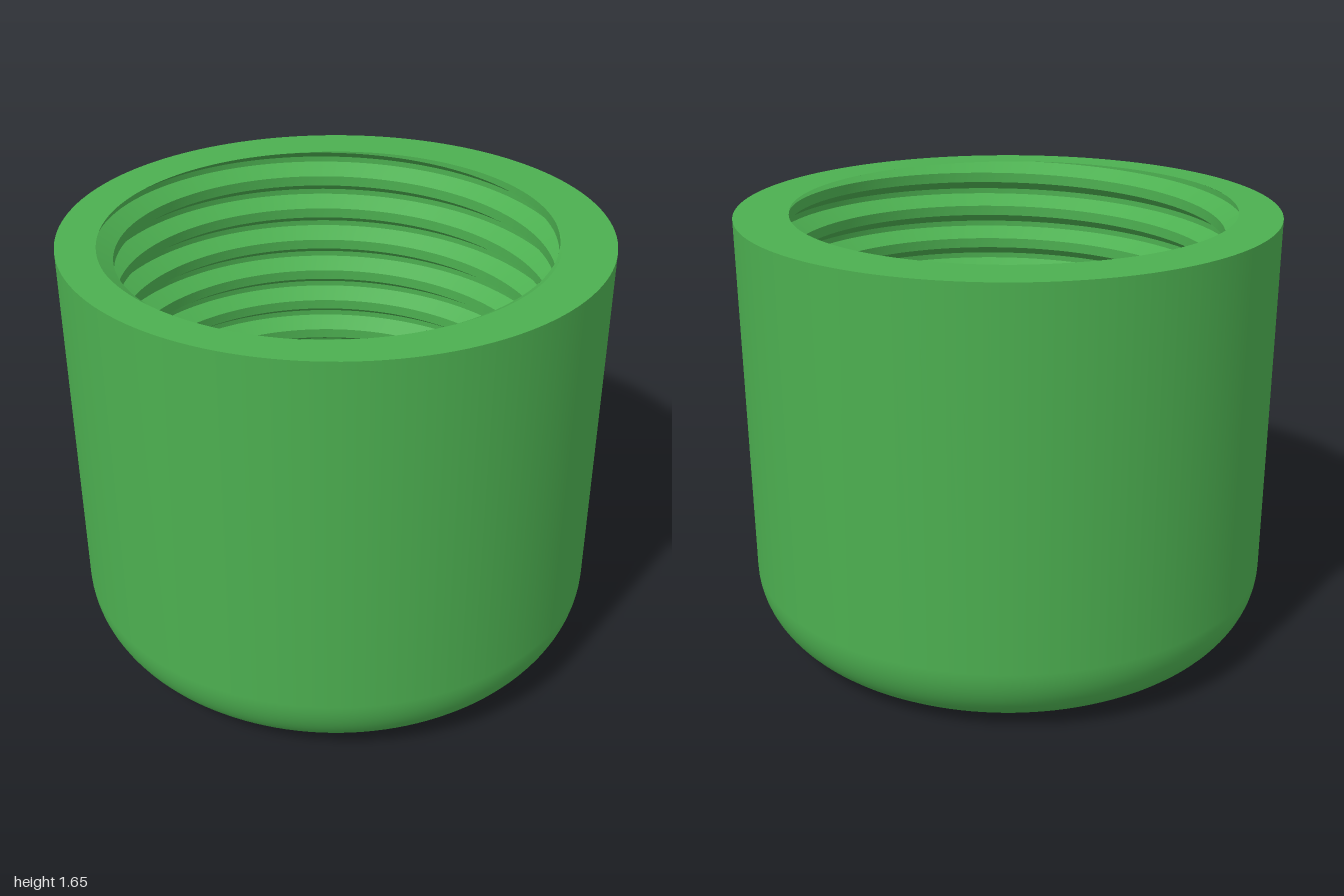
import * as THREE from 'three';

const HEIGHT = 1.655, FLOOR = 0.2, FILLET = 0.28;
const CREST = 0.8, ROOT = 0.865, PITCH = 0.142;
const START = THREE.MathUtils.degToRad(143); // angle where the groove meets the rim
const TAU = Math.PI * 2, STEPS = 144;

// One pitch of the groove: [height from groove centre, radius]
const THREAD = [[-0.051, CREST], [-0.011, ROOT], [0.011, ROOT], [0.051, CREST], [0.091, CREST]];

// Band swept around y; edges(angle) gives its two [radius, height] edge points
function sweep(edges, from, to) {
  const n = Math.ceil((to - from) / TAU * STEPS);
  const pos = [], index = [], width = [];
  for (let i = 0; i <= n; i++) {
    const t = from + (to - from) * i / n;
    const [a, b] = edges(t);
    for (const [r, y] of [a, b]) pos.push(r * Math.cos(t), y, r * Math.sin(t));
    width.push(Math.hypot(a[0] - b[0], a[1] - b[1]));
    if (i > 0 && width[i] + width[i - 1] > 1e-6) {
      const k = 2 * i - 2;
      index.push(k, k + 2, k + 3, k, k + 3, k + 1);
    }
  }
  const geo = new THREE.BufferGeometry();
  geo.setAttribute('position', new THREE.Float32BufferAttribute(pos, 3));
  geo.setIndex(index);
  geo.computeVertexNormals();
  return geo;
}

// Radius of the threaded wall at a given angle and height
function wallRadius(t, y) {
  const low = THREAD[0][0];
  const u = y - HEIGHT + PITCH * (t - START) / TAU;
  const v = low + THREE.MathUtils.euclideanModulo(u - low, PITCH);
  for (let i = 0; i < THREAD.length - 1; i++) {
    const [u0, r0] = THREAD[i], [u1, r1] = THREAD[i + 1];
    if (v <= u1) return r0 + (r1 - r0) * (v - u0) / (u1 - u0);
  }
  return CREST;
}

export function createModel() {
  const group = new THREE.Group();
  group.name = 'threadedCap';
  const material = new THREE.MeshStandardMaterial({ color: 0x4caf50, side: THREE.DoubleSide });
  const add = (name, geometry, parent = group) => {
    const mesh = new THREE.Mesh(geometry, material);
    mesh.name = name;
    parent.add(mesh);
  };

  // Outer shell with rounded bottom edge
  const shell = [new THREE.Vector2(0, 0)];
  for (let i = 0; i <= 16; i++) {
    const a = i / 16 * Math.PI / 2;
    shell.push(new THREE.Vector2(1 - FILLET + FILLET * Math.sin(a), FILLET * (1 - Math.cos(a))));
  }
  shell.push(new THREE.Vector2(1, HEIGHT));
  add('outerShell', new THREE.LatheGeometry(shell, STEPS));

  // Flat rim, cut on the inside by the thread run-out
  add('rim', sweep(t => [[wallRadius(t, HEIGHT), HEIGHT], [1, HEIGHT]], 0, TAU));

  // Inside floor with a soft raised centre
  const floor = [new THREE.Vector2(0.87, FLOOR)];
  for (let i = 0; i <= 20; i++) {
    const r = 0.6 - 0.35 * i / 20;
    floor.push(new THREE.Vector2(r, FLOOR + 0.08 * (1 - THREE.MathUtils.smoothstep(r, 0.25, 0.6))));
  }
  floor.push(new THREE.Vector2(0, FLOOR + 0.08));
  add('insideFloor', new THREE.LatheGeometry(floor, 96));

  // Right-hand internal thread: one helical band per face of the groove
  const thread = new THREE.Group();
  thread.name = 'internalThread';
  group.add(thread);
  const turns = (HEIGHT - FLOOR) / PITCH + 1;
  ['lowerFlank', 'grooveRoot', 'upperFlank', 'crest'].forEach((name, i) => {
    const [u0, r0] = THREAD[i], [u1, r1] = THREAD[i + 1];
    const edges = t => {
      const centre = HEIGHT - PITCH * (t - START) / TAU;
      return [u0, u1].map(u => {
        const y = THREE.MathUtils.clamp(centre + u, FLOOR, HEIGHT);
        const f = THREE.MathUtils.clamp((y - centre - u0) / (u1 - u0), 0, 1);
        return [r0 + (r1 - r0) * f, y];
      });
    };
    add(name, sweep(edges, START - TAU, START + TAU * turns), thread);
  });

  return group;
}
